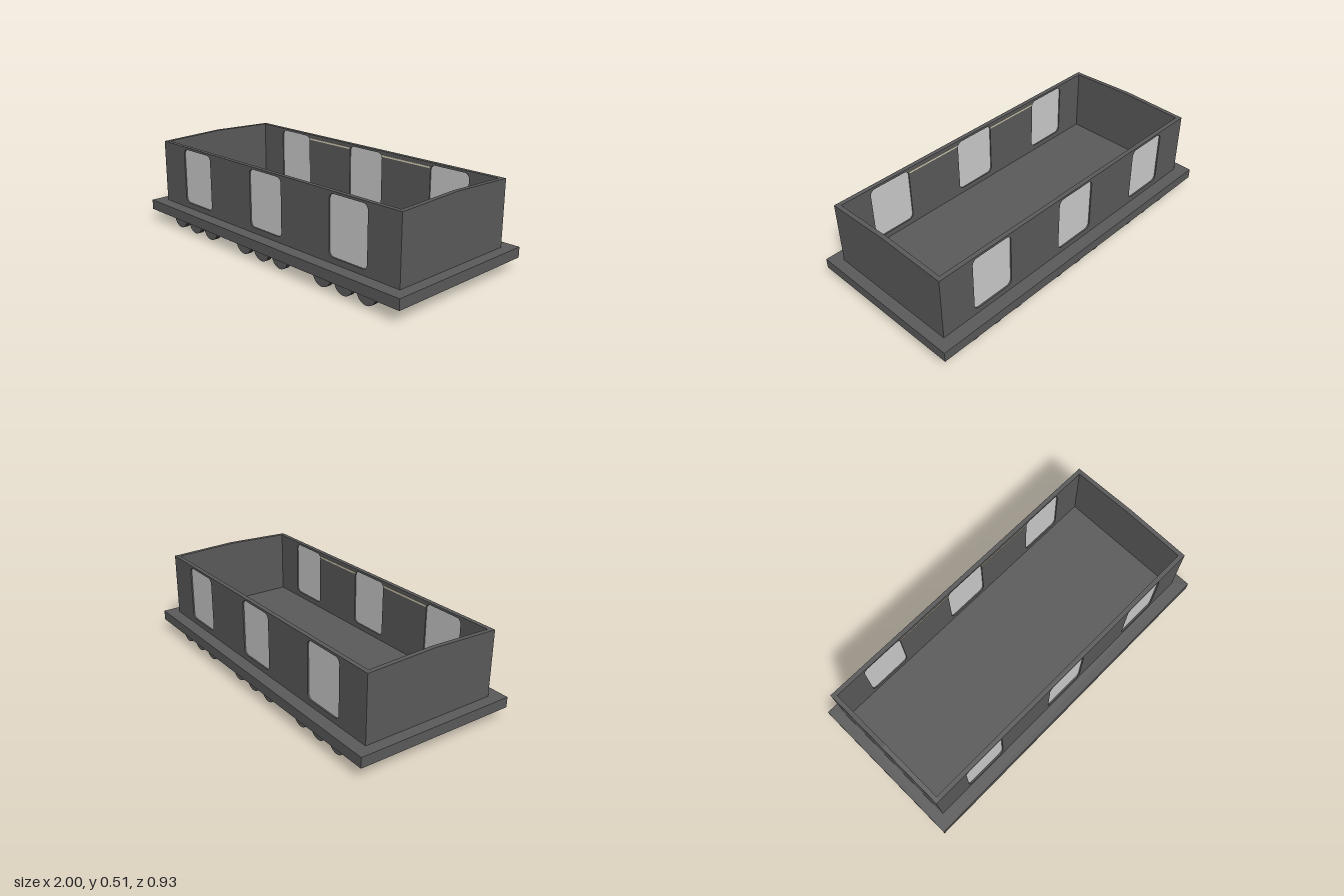
import * as THREE from 'three';

const paint = (color) => new THREE.MeshStandardMaterial({ color, flatShading: true });
const dark = paint(0x5a5a5a);
const under = paint(0x2c2c2c);
const pale = new THREE.MeshStandardMaterial({ color: 0xcccccc });
const cream = paint(0xd8d0b8);

function add(parent, name, geometry, material, x = 0, y = 0, z = 0) {
  const mesh = new THREE.Mesh(geometry, material);
  mesh.name = name;
  mesh.position.set(x, y, z);
  parent.add(mesh);
  return mesh;
}

const box = (w, h, d) => new THREE.BoxGeometry(w, h, d);
const extrude = (shape, depth) =>
  new THREE.ExtrudeGeometry(shape, { depth, bevelEnabled: false, curveSegments: 5 });

// Traces a rectangle, with rounded corners if r > 0
function trace(path, x0, y0, x1, y1, r = 0) {
  path.moveTo(x0 + r, y0);
  path.lineTo(x1 - r, y0);
  if (r) path.absarc(x1 - r, y0 + r, r, -Math.PI / 2, 0);
  path.lineTo(x1, y1 - r);
  if (r) path.absarc(x1 - r, y1 - r, r, 0, Math.PI / 2);
  path.lineTo(x0 + r, y1);
  if (r) path.absarc(x0 + r, y1 - r, r, Math.PI / 2, Math.PI);
  path.lineTo(x0, y0 + r);
  if (r) path.absarc(x0 + r, y0 + r, r, Math.PI, Math.PI * 1.5);
  return path;
}

const DECK = 0.128, BOTTOM = 0.07, TOP = 0.495, PEAK = 0.508;
const HALF_X = 0.938, HALF_Z = 0.392, WALL = 0.025;
const WINDOWS = [-0.607, 0, 0.607];

export function createModel() {
  const model = new THREE.Group();
  model.name = 'railwayCarriage';

  // Underframe: hollow rim, floor and centre beam
  const base = new THREE.Group();
  base.name = 'underframe';
  model.add(base);
  const rim = trace(new THREE.Shape(), -1, -0.465, 1, 0.465);
  rim.holes.push(trace(new THREE.Path(), -0.935, -0.395, 0.935, 0.395));
  add(base, 'rim', extrude(rim, DECK - BOTTOM).rotateX(-Math.PI / 2), dark, 0, BOTTOM, 0);
  add(base, 'floor', box(1.87, 0.01, 0.79), dark, 0, DECK - 0.005, 0);
  add(base, 'floorUnderside', box(1.87, 0.006, 0.79), under, 0, DECK - 0.012, 0);
  add(base, 'centreBeam', box(1.87, 0.046, 0.05), dark, 0, BOTTOM + 0.023, 0);

  // Side walls with rounded window openings, panes and an inner rail
  const wall = trace(new THREE.Shape(), -HALF_X + WALL, DECK, HALF_X - WALL, TOP);
  for (const x of WINDOWS)
    wall.holes.push(trace(new THREE.Path(), x - 0.127, 0.16, x + 0.127, 0.482, 0.03));
  const wallGeometry = extrude(wall, WALL);
  const paneGeometry = extrude(trace(new THREE.Shape(), -0.127, 0.16, 0.127, 0.482, 0.03), 0.01);
  for (const side of [1, -1]) {
    const half = new THREE.Group();
    half.name = side > 0 ? 'frontSide' : 'backSide';
    half.rotation.y = side > 0 ? 0 : Math.PI;
    model.add(half);
    add(half, 'sideWall', wallGeometry, dark, 0, 0, HALF_Z - WALL);
    for (const x of WINDOWS) add(half, 'windowPane', paneGeometry, pale, x, 0, HALF_Z - 0.018);
    for (const x of [-0.3035, 0.3035])
      add(half, 'innerRail', box(0.353, 0.01, 0.004), cream, x, 0.467, HALF_Z - WALL - 0.001);
  }

  // End walls with a shallow gable
  const end = new THREE.Shape();
  end.moveTo(-HALF_Z, DECK);
  end.lineTo(HALF_Z, DECK);
  end.lineTo(HALF_Z, TOP);
  end.lineTo(0, PEAK);
  end.lineTo(-HALF_Z, TOP);
  const endGeometry = extrude(end, WALL).rotateY(Math.PI / 2);
  add(model, 'leftEndWall', endGeometry, dark, HALF_X - WALL, 0, 0);
  add(model, 'rightEndWall', endGeometry, dark, -HALF_X, 0, 0);

  // Grooved wheels, three sets of three on each side
  const profile = [
    [0, -0.015], [0.062, -0.015], [0.062, -0.005], [0.056, -0.005],
    [0.056, 0.005], [0.062, 0.005], [0.062, 0.015], [0, 0.015],
  ].map(([r, h]) => new THREE.Vector2(r, h));
  const wheelGeometry = new THREE.LatheGeometry(profile, 24).rotateX(Math.PI / 2);
  for (const z of [-0.407, 0.407])
    for (const set of [-0.61, -0.005, 0.61])
      for (const step of [-0.15, 0, 0.15])
        add(model, 'wheel', wheelGeometry, dark, set + step, 0.063, z);

  return model;
}
